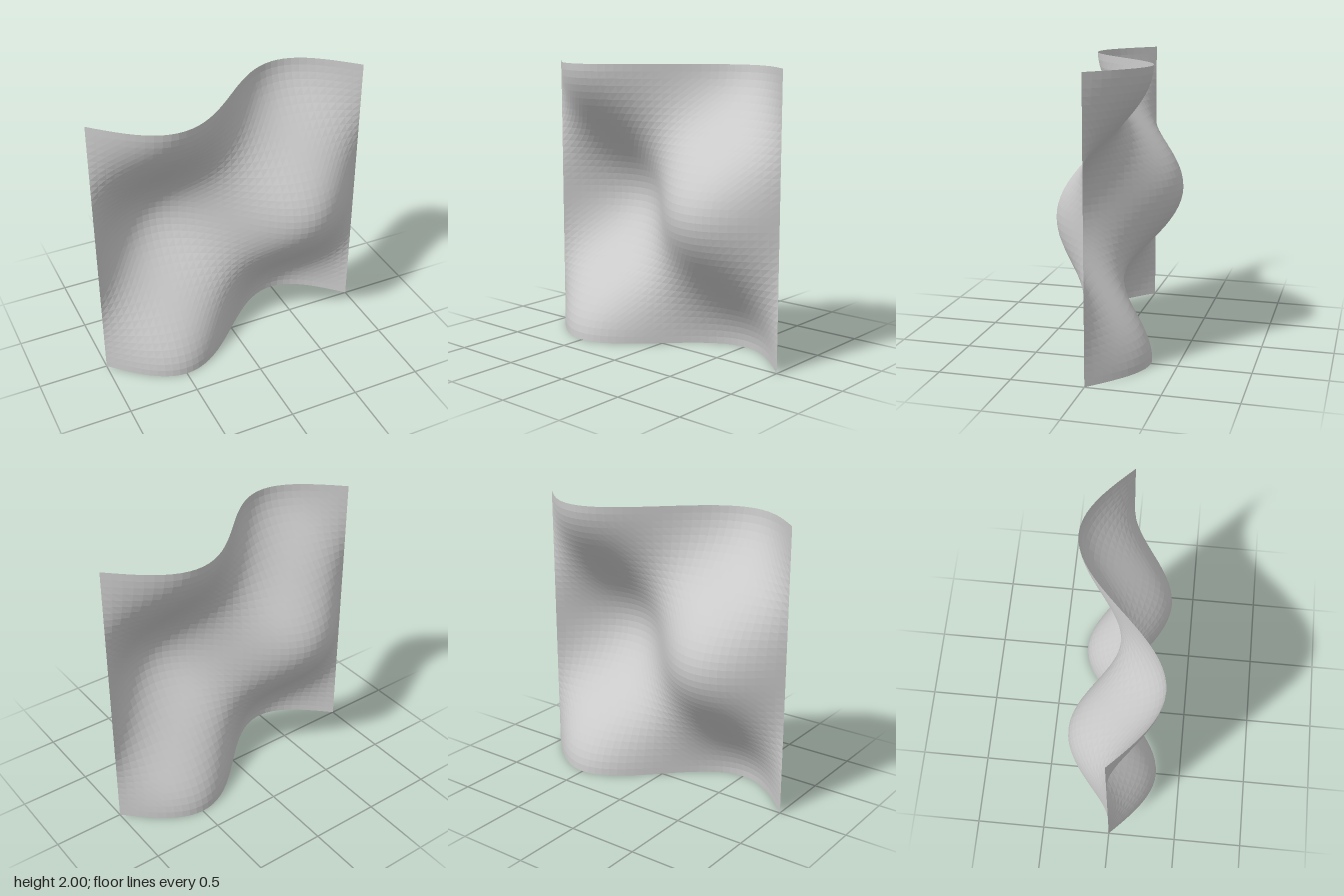
import * as THREE from 'three';

export function createModel() {
  const model = new THREE.Group();
  const amplitude = 1 / Math.PI;

  // Square sheet standing on the ground, pushed into an egg-crate wave
  const geometry = new THREE.PlaneGeometry(2, 2, 40, 40);
  geometry.translate(0, 1, 0);
  const p = geometry.attributes.position;
  for (let i = 0; i < p.count; i++) {
    const x = p.getX(i), y = p.getY(i);
    p.setZ(i, -amplitude * Math.sin(Math.PI * x) * Math.cos(Math.PI * y));
  }
  geometry.computeVertexNormals();

  const material = new THREE.MeshStandardMaterial({
    color: 0xcccccc,
    flatShading: true,
    side: THREE.DoubleSide,
  });
  const sheet = new THREE.Mesh(geometry, material);
  sheet.name = 'waveSheet';
  model.add(sheet);
  return model;
}
